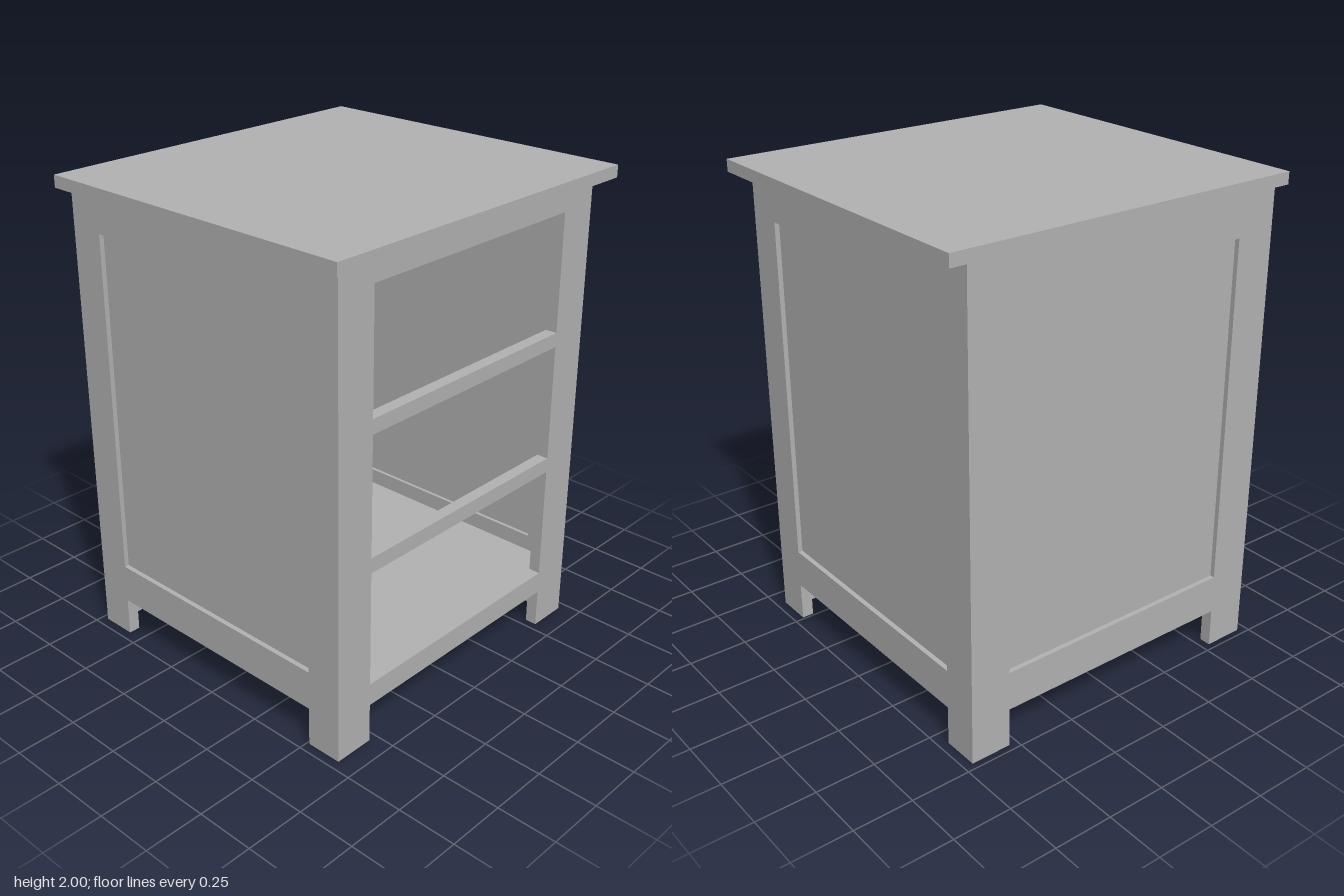
import * as THREE from 'three';

const T = 0.05;                    // board thickness
const X = 0.71, OPEN_X = 0.537;    // body half width, inner edge of the stiles
const BACK = -0.722, FRONT = 0.663;
const APRON = 0.165, FLOOR = 0.26, TOP = 1.95;

export function createModel() {
  const group = new THREE.Group();
  const wood = new THREE.MeshStandardMaterial({ color: 0xb2b2b2 });
  wood.name = 'grey paint';

  function add(name, geometry, x, y, z, turn = 0) {
    const mesh = new THREE.Mesh(geometry, wood);
    mesh.name = name;
    mesh.position.set(x, y, z);
    mesh.rotation.y = turn;
    group.add(mesh);
    return mesh;
  }

  // Box given by its limits
  function box(name, x0, x1, y0, y1, z0, z1) {
    return add(name, new THREE.BoxGeometry(x1 - x0, y1 - y0, z1 - z0),
      (x0 + x1) / 2, (y0 + y1) / 2, (z0 + z1) / 2);
  }

  // Frame with two feet below an apron and rectangular openings [y0, y1]
  function frame(half, inner, openings) {
    const shape = new THREE.Shape([
      [-half, 0], [-inner, 0], [-inner, APRON], [inner, APRON],
      [inner, 0], [half, 0], [half, TOP], [-half, TOP],
    ].map(([x, y]) => new THREE.Vector2(x, y)));
    for (const [y0, y1] of openings) {
      shape.holes.push(new THREE.Path([
        [-inner, y0], [-inner, y1], [inner, y1], [inner, y0],
      ].map(([x, y]) => new THREE.Vector2(x, y))));
    }
    return new THREE.ExtrudeGeometry(shape, { depth: T, bevelEnabled: false });
  }

  // Table top, flush with the back
  box('top', -0.78, 0.78, TOP, 2, -0.725, 0.725);

  // Front frame with three drawer openings
  add('frontFrame', frame(X, OPEN_X, [[FLOOR, 0.747], [0.81, 1.303], [1.363, 1.853]]),
    0, 0, FRONT - T);

  // Back frame and its recessed panel
  const panelY = [0.33, 1.787];
  add('backFrame', frame(X, OPEN_X, [panelY]), 0, 0, BACK);
  box('backPanel', -OPEN_X, OPEN_X, ...panelY, BACK + 0.02, BACK + 0.035);

  // Side frames and recessed panels
  const midZ = (FRONT + BACK) / 2, half = (FRONT - BACK) / 2;
  const sideInner = 0.54;
  for (const [side, s] of [['left', 1], ['right', -1]]) {
    add(side + 'SideFrame', frame(half - 0.0005, sideInner, [panelY]),
      s > 0 ? X - T : -X + T, 0, midZ, s * Math.PI / 2);
    const a = s * (X - 0.02), b = s * (X - 0.035);
    box(side + 'SidePanel', Math.min(a, b), Math.max(a, b), ...panelY,
      midZ - sideInner, midZ + sideInner);
  }

  // Cabinet floor
  box('floor', -X + T, X - T, APRON, FLOOR, BACK + T, FRONT - T);

  return group;
}
